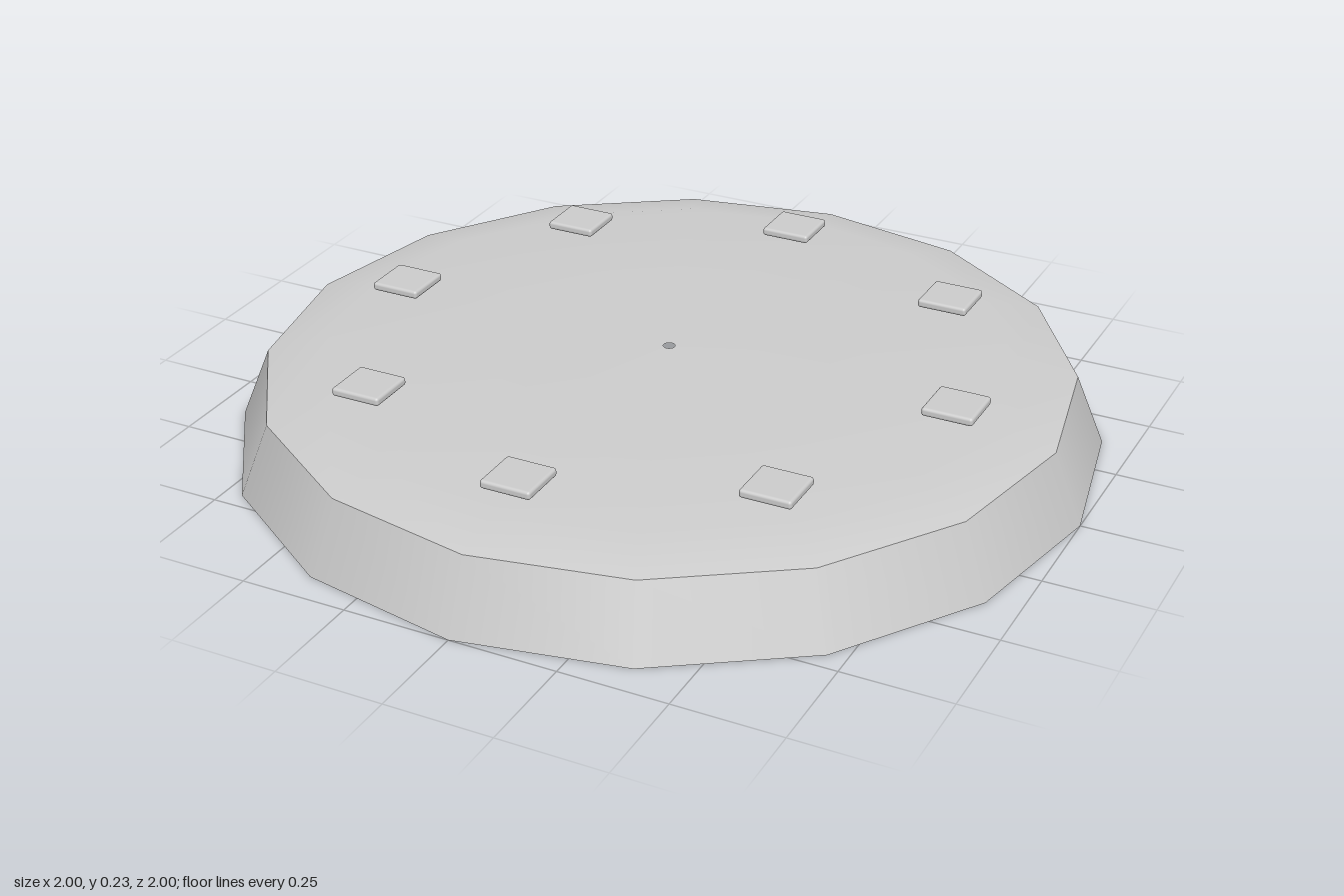
import * as THREE from 'three';
import { RoundedBoxGeometry } from 'three/addons/geometries/RoundedBoxGeometry.js';

const SIDES = 16;

export function createModel() {
  const model = new THREE.Group();
  model.name = 'roundPlatform';
  const grey = new THREE.MeshStandardMaterial({ color: 0xcccccc, side: THREE.DoubleSide });
  grey.name = 'lightGrey';

  const add = (name, geometry) => {
    const mesh = new THREE.Mesh(geometry, grey);
    mesh.name = name;
    model.add(mesh);
    return mesh;
  };
  const lathe = (points) =>
    new THREE.LatheGeometry(points.map(([r, y]) => new THREE.Vector2(r, y)), SIDES);

  // Sloping wall of the open-bottomed shell
  add('sideWall', lathe([[1, 0], [0.933, 0.166]]));

  // Gently domed top with a tiny central hole
  add('topSurface', lathe([[0.933, 0.166], [0.79, 0.202], [0.38, 0.208], [0.014, 0.212]]));

  // Ring of eight small square pads, all aligned with the axes
  const padGeometry = new RoundedBoxGeometry(0.12, 0.02, 0.12, 2, 0.007);
  for (let i = 0; i < 8; i++) {
    const a = (i * Math.PI) / 4;
    add('pad' + (i + 1), padGeometry).position.set(0.7 * Math.sin(a), 0.224, 0.7 * Math.cos(a));
  }
  return model;
}
